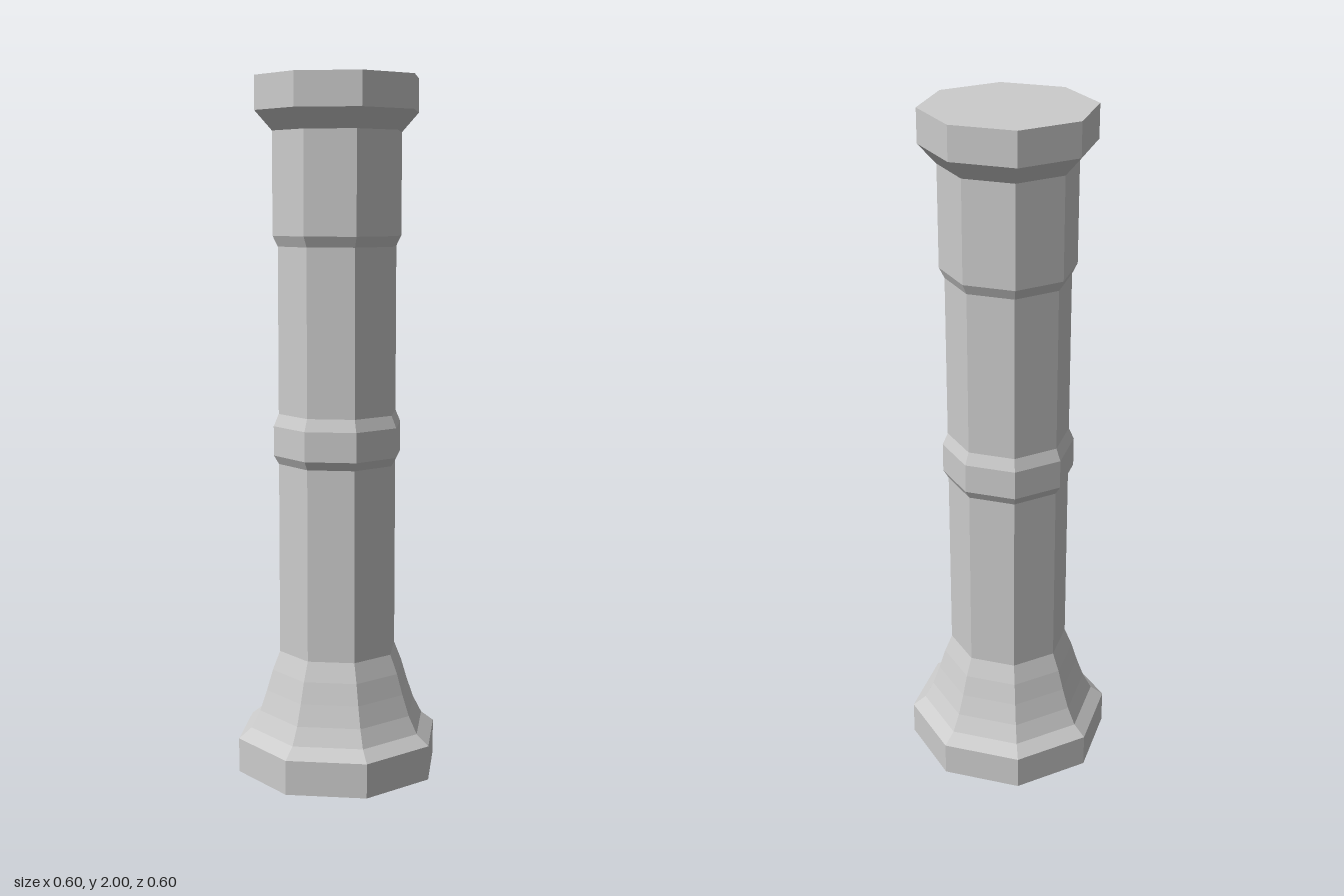
import * as THREE from 'three';

const SIDES = 8;

export function createModel() {
  const column = new THREE.Group();
  column.name = 'column';
  const material = new THREE.MeshStandardMaterial({ color: 0xcccccc, flatShading: true });

  // Octagonal section turned from [radius, height] pairs, bottom to top
  const addSection = (name, profile) => {
    const points = profile.map(([r, y]) => new THREE.Vector2(r, y));
    const mesh = new THREE.Mesh(new THREE.LatheGeometry(points, SIDES), material);
    mesh.name = name;
    column.add(mesh);
  };

  // Plinth, closed underneath
  addSection('plinth', [[0, 0], [0.3, 0], [0.3, 0.1]]);
  // Concave flare up to the shaft
  addSection('baseFlare', [[0.3, 0.1], [0.262, 0.13], [0.236, 0.18], [0.215, 0.24], [0.197, 0.3], [0.175, 0.355]]);
  addSection('lowerShaft', [[0.175, 0.355], [0.175, 0.91]]);
  // Bevelled band at mid height
  addSection('middleBand', [[0.175, 0.91], [0.19, 0.935], [0.19, 1.02], [0.175, 1.055]]);
  addSection('upperShaft', [[0.175, 1.055], [0.175, 1.53]]);
  // Thicker neck under the capital
  addSection('neck', [[0.175, 1.53], [0.19, 1.56], [0.19, 1.85]]);
  // Capital, closed on top
  addSection('capital', [[0.19, 1.85], [0.24, 1.905], [0.24, 2], [0, 2]]);

  return column;
}
